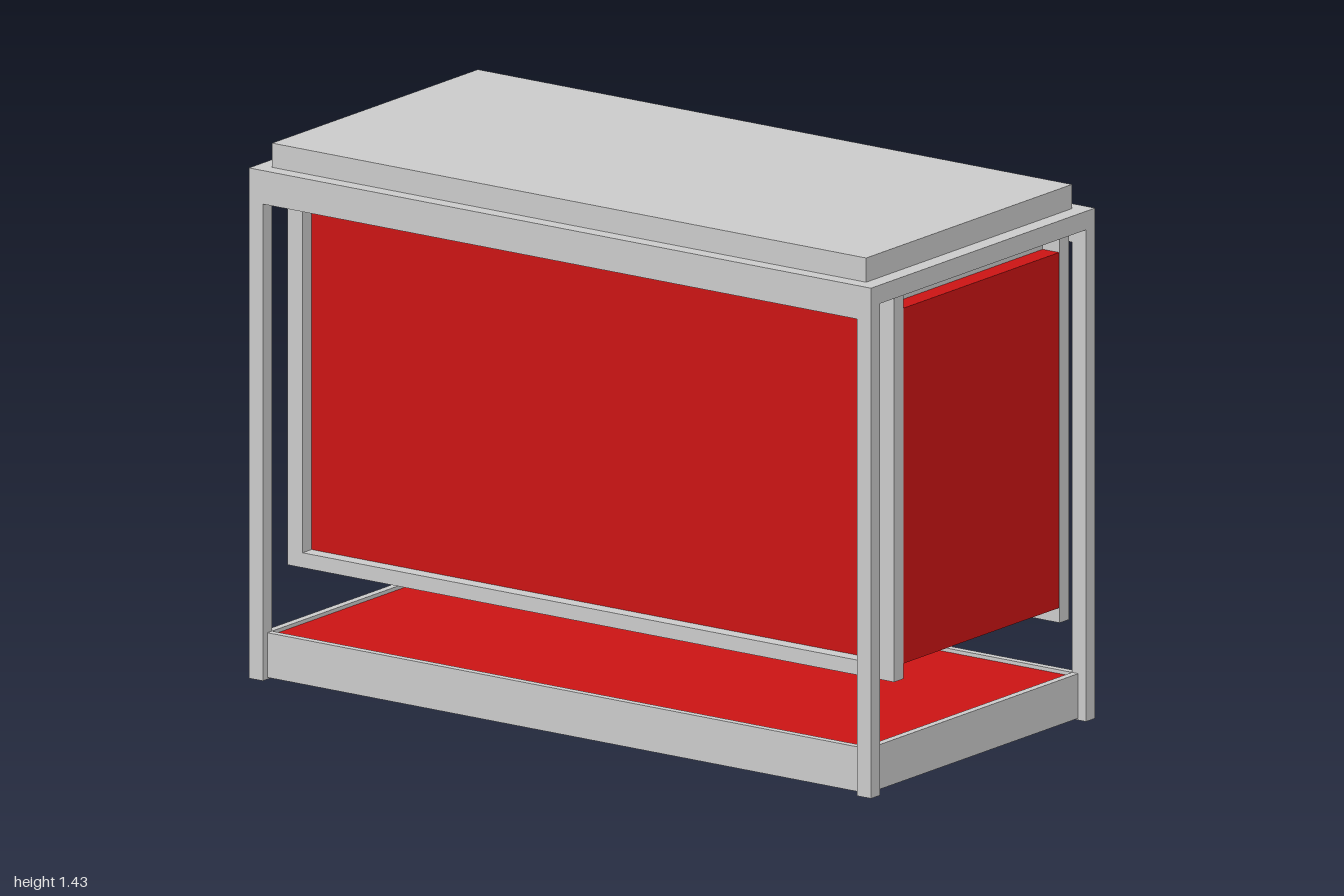
import * as THREE from 'three';

export function createModel() {
  const model = new THREE.Group();
  const grey = new THREE.MeshStandardMaterial({ color: 0xcccccc });
  const red = new THREE.MeshStandardMaterial({ color: 0xcc1414 });

  // Box given by its ranges along x, y and z
  function box(name, [x0, x1], [y0, y1], [z0, z1], material = grey) {
    const mesh = new THREE.Mesh(new THREE.BoxGeometry(x1 - x0, y1 - y0, z1 - z0), material);
    mesh.position.set((x0 + x1) / 2, (y0 + y1) / 2, (z0 + z1) / 2);
    mesh.name = name;
    model.add(mesh);
  }
  const side = (s, a, b) => (s > 0 ? [a, b] : [-b, -a]);

  // Outer frame: corner posts, top rails and slim base rails
  for (const sx of [-1, 1]) {
    for (const sz of [-1, 1]) {
      box('cornerPost', side(sx, 0.955, 1), [0, 1.37], side(sz, 0.45, 0.49));
    }
    box('topSideRail', side(sx, 0.955, 1), [1.32, 1.37], [-0.45, 0.45]);
    box('baseSideRail', side(sx, 0.955, 0.975), [0.005, 0.125], [-0.45, 0.45]);
  }
  for (const sz of [-1, 1]) {
    box('topLongRail', [-0.955, 0.955], [1.28, 1.37], side(sz, 0.45, 0.49));
    box('baseLongRail', [-0.955, 0.955], [0.005, 0.125], side(sz, 0.45, 0.47));
  }

  // Base tray and top slab
  box('baseTray', [-0.955, 0.955], [0.01, 0.115], [-0.45, 0.45], red);
  box('topSlab', [-0.955, 0.955], [1.37, 1.435], [-0.45, 0.45]);

  // Hanging container, set slightly to the left, its ends flush with the frame on each long face
  box('container', [-0.953, 0.993], [0.328, 1.282], [-0.342, 0.342], red);
  for (const sz of [-1, 1]) {
    const z = side(sz, 0.342, 0.382);
    box('containerPost', [-0.955, -0.907], [0.288, 1.32], z);
    box('containerPost', [0.95, 0.995], [0.288, 1.32], z);
    box('containerBottomRail', [-0.907, 0.95], [0.288, 0.328], z);
    box('containerTopRail', [-0.907, 0.95], [1.282, 1.32], z);
  }

  // Cross bars joining the container to the long rails
  for (const x of [0.92, -0.79]) {
    box('crossBar', [x - 0.02, x + 0.02], [1.282, 1.32], [-0.45, 0.45]);
  }
  return model;
}
